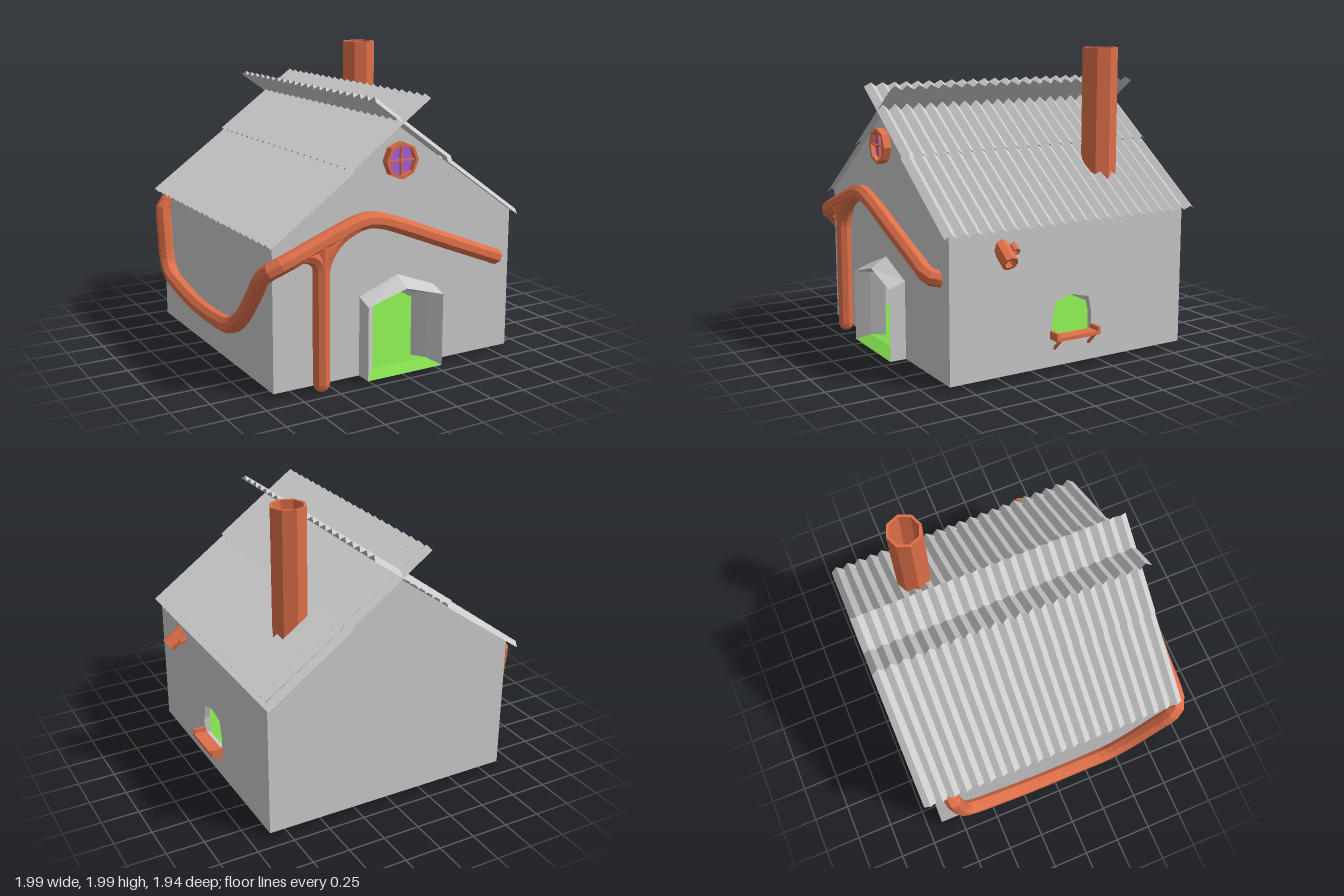
import * as THREE from 'three';

const mat = (color) => new THREE.MeshStandardMaterial({ color, flatShading: true, side: THREE.DoubleSide });
const V = (x, y, z) => new THREE.Vector3(x, y, z);

export function createModel() {
  const house = new THREE.Group();
  house.name = 'house';
  const grey = mat(0xcccccc), clay = mat(0xe0704a), green = mat(0x80d94a), purple = mat(0xaa60d8);
  const CX = -0.008; // centre line of the house

  const add = (name, geo, material, x = 0, y = 0, z = 0) => {
    const m = new THREE.Mesh(geo, material);
    m.name = name;
    m.position.set(x, y, z);
    house.add(m);
    return m;
  };
  const box = (name, w, h, d, x, y, z, material = grey) => add(name, new THREE.BoxGeometry(w, h, d), material, x, y, z);
  const poly = (pts, C = THREE.Shape) => new C(pts.map((p) => new THREE.Vector2(...p)));
  const extrude = (shape, depth) => new THREE.ExtrudeGeometry(shape, { depth, bevelEnabled: false });

  // Joins rows of points into a strip of quads
  const loft = (rows) => {
    const n = rows[0].length, pos = rows.flat(2), idx = [];
    for (let r = 0; r < rows.length - 1; r++) {
      for (let i = 0; i < n - 1; i++) {
        const a = r * n + i, b = a + n;
        idx.push(a, b, a + 1, a + 1, b, b + 1);
      }
    }
    const g = new THREE.BufferGeometry();
    g.setAttribute('position', new THREE.Float32BufferAttribute(pos, 3));
    g.setIndex(idx);
    g.computeVertexNormals();
    return g;
  };

  // Gable walls, the front one with the door opening
  const doorRow = (w, base, side, apex, z) =>
    [[CX - w, base, z], [CX - w, side, z], [CX, apex, z], [CX + w, side, z], [CX + w, base, z]];
  const gable = () => poly([[-0.883, 0.03], [0.867, 0.03], [0.867, 0.965], [CX, 1.585], [-0.883, 0.965]]);
  const front = gable();
  front.holes.push(poly(doorRow(0.2, 0.06, 0.505, 0.58, 0).map((p) => [p[0], p[1]]), THREE.Path));
  add('frontWall', extrude(front, 0.04), grey, 0, 0, 0.815);
  add('backWall', extrude(gable(), 0.04), grey, 0, 0, -0.894);

  // Side walls, the right one with an arched window
  const side = poly([[-0.855, 0.03], [0.894, 0.03], [0.894, 0.97], [-0.855, 0.97]]);
  side.holes.push(poly([[-0.13, 0.22], [0.172, 0.22], [0.17, 0.34], [0.145, 0.45], [0.02, 0.48], [-0.1, 0.45], [-0.128, 0.34]], THREE.Path));
  add('windowWall', extrude(side, 0.04), grey, 0.827, 0, 0).rotation.y = Math.PI / 2;
  box('plainWall', 0.04, 0.94, 1.748, -0.863, 0.5, -0.02);
  box('base', 1.748, 0.03, 1.748, CX, 0.045, -0.02);
  box('floor', 1.66, 0.01, 1.66, CX, 0.065, -0.02, green);

  // Splayed door surround with its ramp
  add('doorSurround', loft([
    doorRow(0.277, 0.03, 0.545, 0.65, 0.855),
    doorRow(0.277, 0.03, 0.505, 0.585, 0.965),
    doorRow(0.205, 0.06, 0.505, 0.585, 0.885),
    doorRow(0.145, 0.06, 0.5, 0.56, 0.8),
  ]), grey);
  const rampRow = (w, y, z) => [[CX - w, y, z], [CX + w, y, z]];
  add('doorRamp', loft([rampRow(0.277, 0.031, 0.965), rampRow(0.22, 0.07, 0.885), rampRow(0.145, 0.07, 0.8)]), green);
  add('surroundUnderside', loft([rampRow(0.277, 0.03, 0.85), rampRow(0.277, 0.03, 0.965)]), grey);

  // Corrugated roof sheets: two per slope, the upper ones crossing at the ridge
  const sheet = (s, x0, y0, x1, y1) => {
    const len = Math.hypot(x1 - x0, y1 - y0), nx = -(y1 - y0) / len, ny = (x1 - x0) / len;
    const rows = [];
    for (let i = 0; i <= 44; i++) {
      const h = i % 2 ? 0.016 : -0.016, z = -0.975 + (1.875 * i) / 44;
      rows.push([[x0, y0], [x1, y1]].map(([x, y]) => [CX + s * (x + nx * h), y + ny * h, z]));
    }
    add('roofSheet', loft(rows), grey);
  };
  for (const s of [-1, 1]) {
    sheet(s, -0.914, 0.952, -0.345, 1.357);
    sheet(s, -0.378, 1.356, 0.19, 1.762);
  }

  // Hollow eight-sided pipe along +y from the origin
  const hollow = (r, inner, h) => new THREE.LatheGeometry(
    [[inner, 0], [r, 0], [r, h], [inner, h], [inner, 0]].map((p) => new THREE.Vector2(...p)), 8);
  add('chimney', hollow(0.117, 0.1, 0.9), clay, 0.5, 1.1, -0.475);

  // Slanted outlet pipes poking through the window wall
  const outlet = (name, r, inner, x, y, z) => {
    const m = add(name, hollow(r, inner, 0.2), clay);
    const dir = V(0.82, -0.57, 0).normalize();
    m.quaternion.setFromUnitVectors(V(0, 1, 0), dir);
    m.position.set(x, y, z).addScaledVector(dir, -0.2);
  };
  outlet('largeOutlet', 0.053, 0.035, 0.967, 0.76, 0.495);
  outlet('smallOutlet', 0.029, 0.018, 0.9, 0.81, 0.415);

  // Window sill with raised ends and braces
  box('sill', 0.09, 0.022, 0.33, 0.905, 0.224, -0.02, clay);
  for (const z of [0.135, -0.175]) box('sillEnd', 0.085, 0.05, 0.02, 0.905, 0.24, z, clay);
  for (const z of [0.11, -0.15]) {
    box('sillBrace', 0.014, 0.12, 0.018, 0.9, 0.18, z, clay).rotation.z = -Math.PI / 4;
  }

  // Round gable window
  const ring = add('roundWindowFrame', hollow(0.116, 0.096, 0.055), clay, -0.012, 1.38, 0.852);
  ring.rotation.x = Math.PI / 2;
  const glass = add('roundWindowGlass', new THREE.CylinderGeometry(0.1, 0.1, 0.02, 8), purple, -0.012, 1.38, 0.865);
  glass.rotation.x = Math.PI / 2;
  box('windowBar', 0.195, 0.01, 0.02, -0.012, 1.38, 0.882, clay);
  box('windowBar', 0.01, 0.195, 0.02, -0.012, 1.38, 0.882, clay);

  // Branching pipes with rounded ends
  const pipe = (name, pts, segments, r = 0.054) => {
    const curve = new THREE.CatmullRomCurve3(pts.map((p) => V(...p)));
    add(name, new THREE.TubeGeometry(curve, segments, r, 8), clay);
    for (const p of [pts[0], pts[pts.length - 1]]) add(name + 'End', new THREE.SphereGeometry(r, 8, 6), clay, ...p);
  };
  const Z = 0.91;
  pipe('mainPipe', [
    [0.735, 0.665, 0.84], [0.735, 0.67, 0.88], [0.69, 0.69, Z], [0.6, 0.725, Z], [0.3, 0.845, Z], [-0.1, 1.005, Z],
    [-0.19, 1.033, Z], [-0.27, 1.042, Z], [-0.36, 1.023, Z], [-0.6, 0.935, Z], [-0.82, 0.85, Z],
    [-0.9, 0.815, 0.895], [-0.935, 0.77, 0.84], [-0.935, 0.66, 0.75], [-0.935, 0.43, 0.54],
    [-0.935, 0.33, 0.38], [-0.93, 0.3, 0.2], [-0.93, 0.3, -0.17], [-0.93, 0.35, -0.5],
    [-0.93, 0.39, -0.65], [-0.93, 0.46, -0.72], [-0.93, 0.7, -0.765], [-0.925, 0.86, -0.785], [-0.89, 0.9, -0.79],
  ], 66);
  pipe('downPipe', [[-0.585, 0.06, Z], [-0.585, 0.3, Z], [-0.585, 0.65, Z], [-0.585, 0.94, Z]], 8);
  // Flared joint where the down pipe meets the main pipe
  pipe('rightJoint', [[-0.585, 0.68, Z], [-0.578, 0.79, Z], [-0.54, 0.88, Z], [-0.46, 0.965, Z], [-0.35, 1.02, Z]], 10, 0.052);
  pipe('leftJoint', [[-0.585, 0.72, Z], [-0.592, 0.8, Z], [-0.63, 0.858, Z], [-0.7, 0.882, Z], [-0.79, 0.86, Z]], 10, 0.052);

  return house;
}
